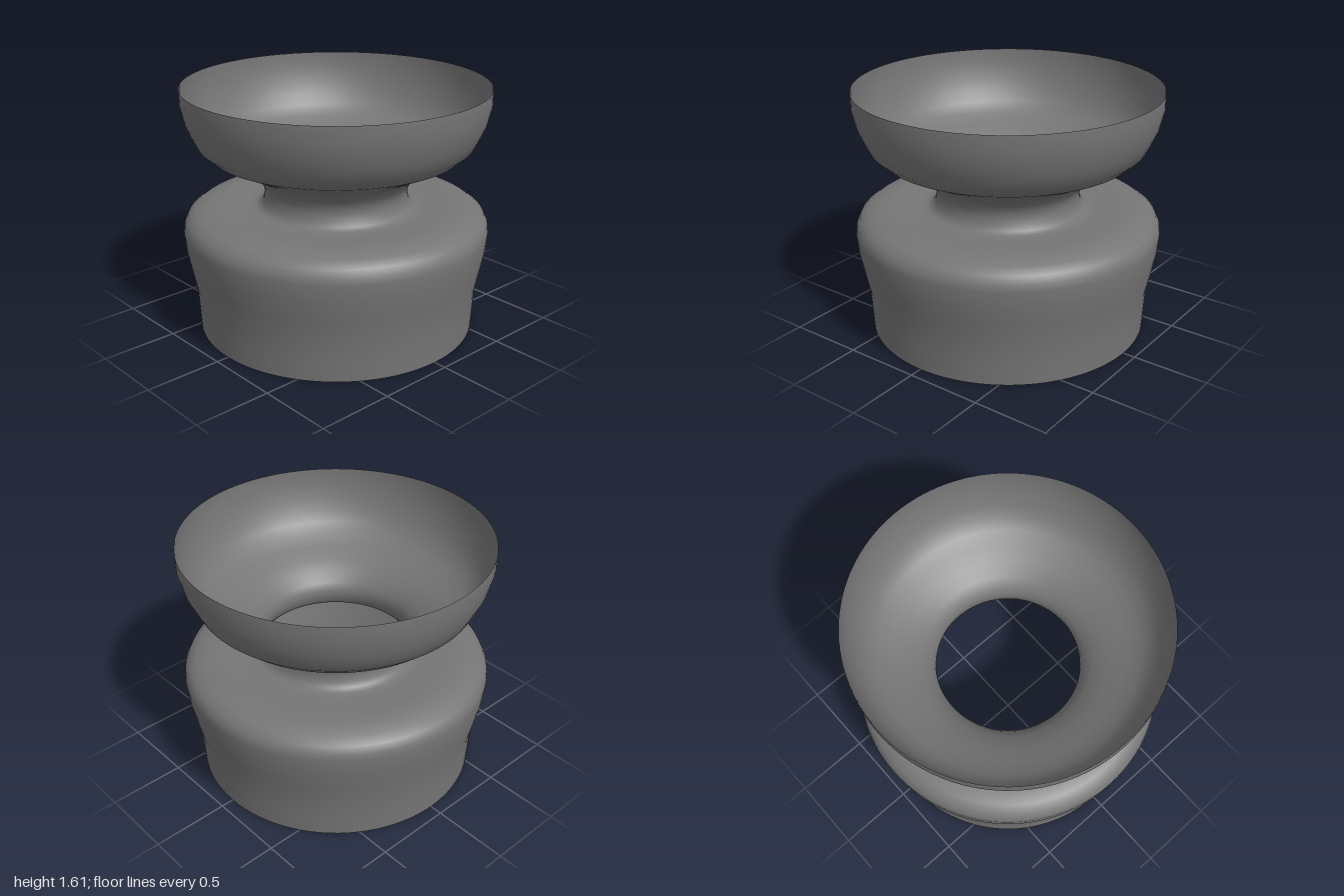
import * as THREE from 'three';

// Outer silhouette as [radius, height], from the open foot to the open rim
const PROFILE = [
  [0.917, 0], [0.925, 0.14], [0.933, 0.28], [0.965, 0.43], [0.99, 0.56], [1, 0.67],
  [0.993, 0.715], [0.97, 0.76], [0.917, 0.797], [0.83, 0.818], [0.75, 0.819],
  [0.65, 0.812], [0.57, 0.808], [0.525, 0.812], [0.495, 0.828],
  [0.475, 0.86], [0.466, 0.905], [0.469, 0.945], [0.49, 0.99], [0.543, 1.048], [0.634, 1.1],
  [0.73, 1.145], [0.82, 1.187], [0.89, 1.25], [0.928, 1.326], [0.96, 1.4],
  [0.987, 1.513], [0.987, 1.613],
];

export function createModel() {
  const model = new THREE.Group();
  model.name = 'flaredVessel';

  // Thin turned shell: hollow base, narrow waist and open bowl in one sweep
  const points = PROFILE.map(([r, y]) => new THREE.Vector2(r, y));
  const shell = new THREE.Mesh(
    new THREE.LatheGeometry(points, 96),
    new THREE.MeshStandardMaterial({ color: 0x767676, side: THREE.DoubleSide })
  );
  shell.name = 'turnedShell';
  model.add(shell);

  return model;
}
